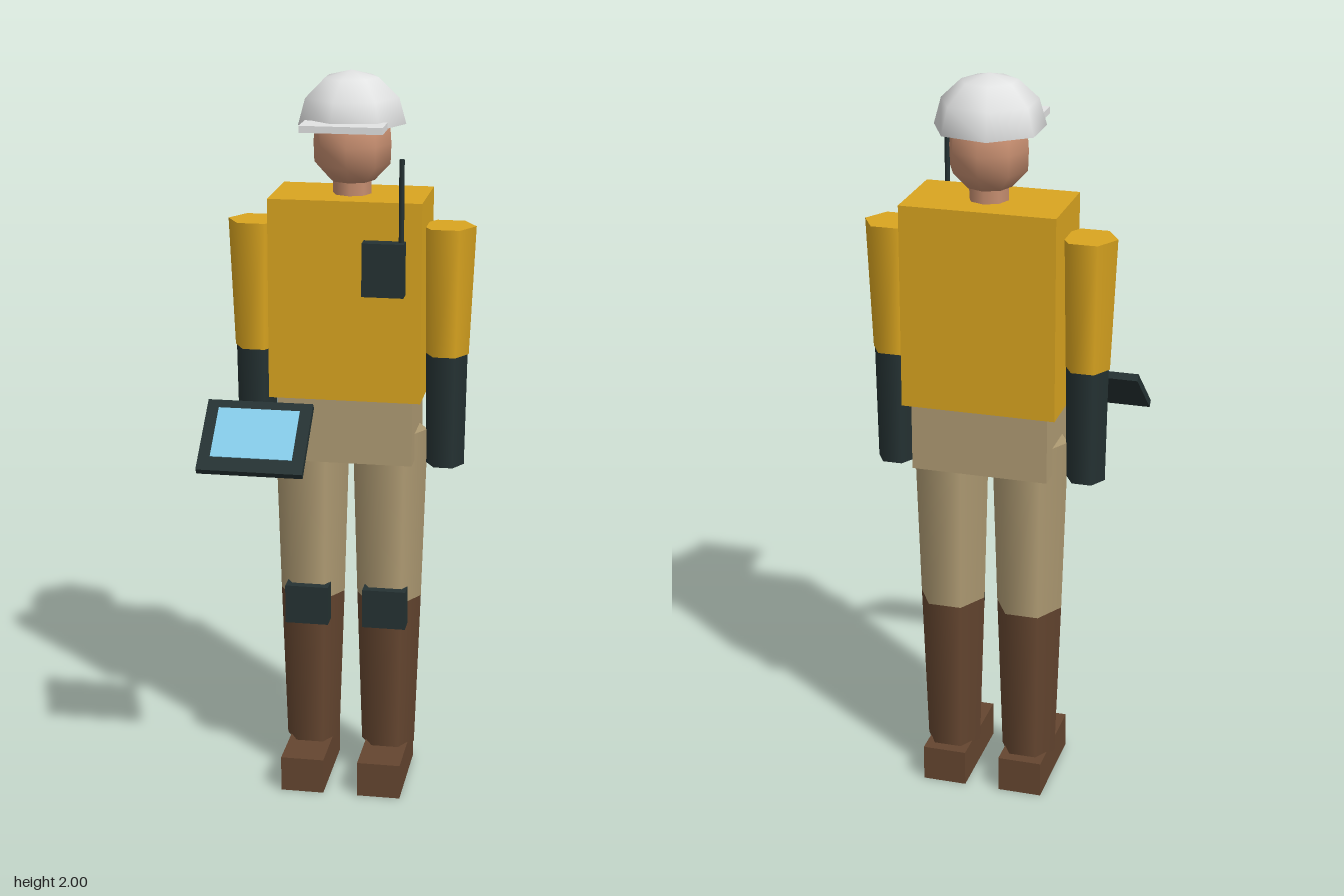
import * as THREE from 'three';

const mat = (name, color, side = THREE.FrontSide) => {
  const m = new THREE.MeshStandardMaterial({ color, side });
  m.name = name;
  return m;
};

export function createModel() {
  const gold = mat('gold cloth', 0xdaa520);
  const khaki = mat('khaki cloth', 0xb09c74);
  const brown = mat('brown leather', 0x654630);
  const dark = mat('dark rubber', 0x253233);
  const skin = mat('skin', 0xc68e70);
  const white = mat('hard hat white', 0xe2e3e3, THREE.DoubleSide);
  const blue = mat('screen blue', 0x87ceeb);

  const model = new THREE.Group();
  model.name = 'worker';
  const CX = 0.005, CZ = -0.124; // body axis

  const add = (name, geo, material, x, y, z, parent = model) => {
    const m = new THREE.Mesh(geo, material);
    m.name = name;
    m.position.set(x, y, z);
    parent.add(m);
    return m;
  };
  const box = (name, material, w, h, d, x, y, z, parent) =>
    add(name, new THREE.BoxGeometry(w, h, d), material, x, y, z, parent);
  // tapered six-sided limb with corners towards +x and -x
  const limb = (name, material, rTop, rBottom, top, bottom, x, z = CZ, sides = 6) => {
    const geo = new THREE.CylinderGeometry(rTop, rBottom, top - bottom, sides);
    geo.rotateY(Math.PI / 2);
    return add(name, geo, material, x, (top + bottom) / 2, z);
  };

  // body
  box('torso', gold, 0.41, 0.541, 0.238, CX, 1.4055, CZ);
  box('hips', khaki, 0.365, 0.185, 0.215, CX, 1.0475, CZ);

  // arms and legs
  for (const [side, s] of [['left', 1], ['right', -1]]) {
    const ax = CX + s * 0.26, lx = CX + s * 0.108;
    limb(side + 'Sleeve', gold, 0.075, 0.06, 1.597, 1.247, ax);
    limb(side + 'Glove', dark, 0.057, 0.052, 1.25, 0.935, ax);
    limb(side + 'TrouserLeg', khaki, 0.104, 0.09, 1.03, 0.542, lx);
    limb(side + 'BootShaft', brown, 0.09, 0.075, 0.544, 0.093, lx);
    box(side + 'Shoe', brown, 0.12, 0.1, 0.28, lx, 0.05, -0.08);
    box(side + 'KneePad', dark, 0.12, 0.11, 0.05, lx, 0.532, -0.045);
  }

  // neck and head
  limb('neck', skin, 0.052, 0.052, 1.74, 1.66, CX + 0.002, CZ, 8);
  const profile = [[0, 1.698], [0.06, 1.712], [0.102, 1.757], [0.104, 1.81], [0.1, 1.865], [0.06, 1.905], [0, 1.915]]
    .map(([r, y]) => new THREE.Vector2(r, y));
  add('head', new THREE.LatheGeometry(profile, 8), skin, CX + 0.002, 0, CZ);

  // hard hat: seven-sided open dome and flat peak
  const dome = new THREE.SphereGeometry(0.1457, 7, 3, 0, Math.PI * 2, 0, Math.PI / 2);
  dome.scale(1, 0.95, 1);
  dome.rotateY(Math.PI);
  add('hardHatDome', dome, white, 0.004, 1.862, -0.127);
  box('hardHatPeak', white, 0.218, 0.018, 0.088, 0.004, 1.87, 0.004);

  // chest radio
  box('radio', dark, 0.111, 0.143, 0.04, 0.1125, 1.5035, 0.015);
  limb('radioAntenna', dark, 0.007, 0.007, 1.793, 1.56, 0.158, 0.008);

  // tilted tablet
  const tablet = new THREE.Group();
  tablet.name = 'tablet';
  tablet.position.set(-0.2015, 1.074, 0.1755);
  tablet.rotation.x = THREE.MathUtils.degToRad(40);
  model.add(tablet);
  box('tabletCase', dark, 0.282, 0.02, 0.22, 0, 0, 0, tablet);
  box('tabletScreen', blue, 0.218, 0.004, 0.153, 0, 0.0105, -0.008, tablet);

  return model;
}
